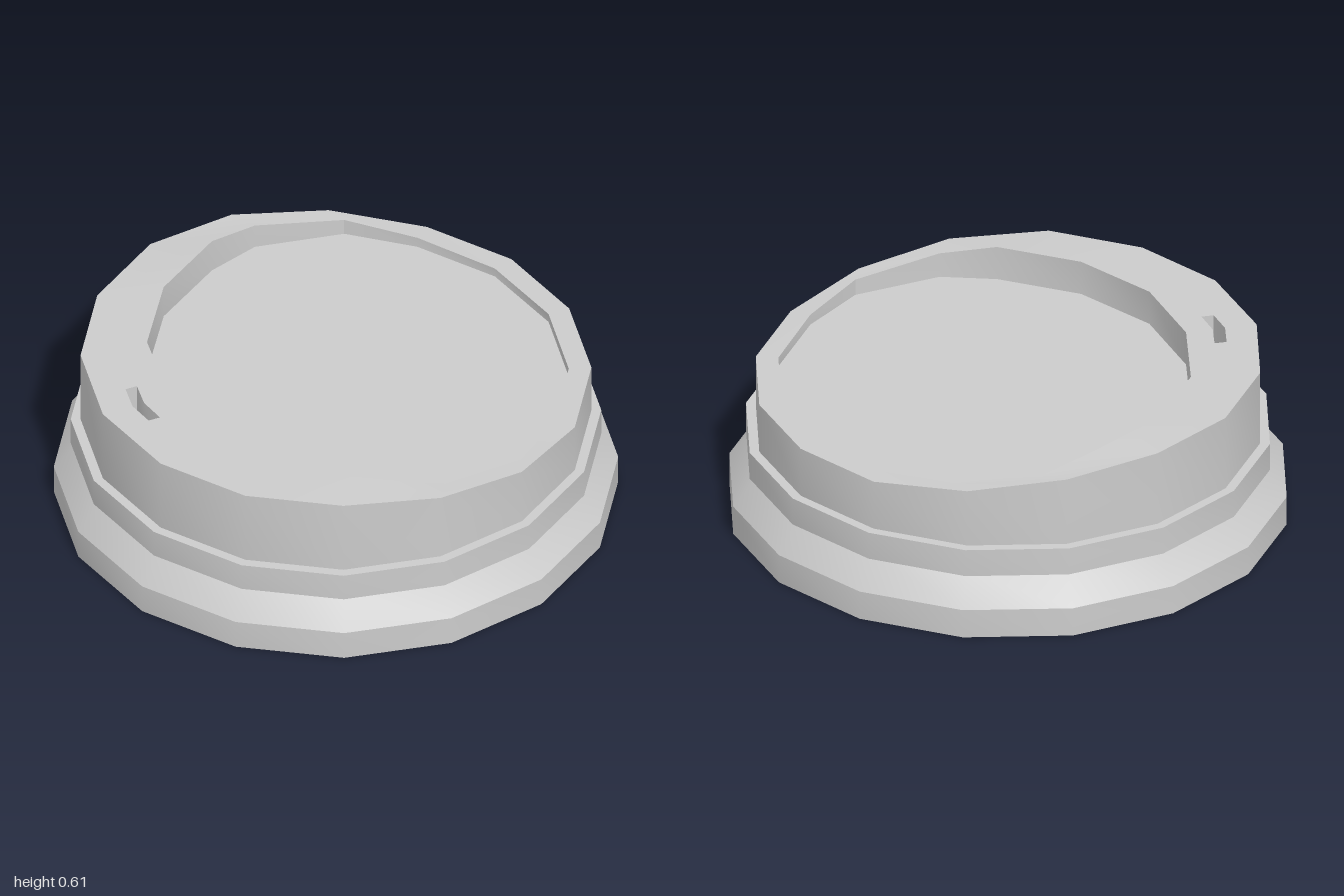
import * as THREE from 'three';
import { toCreasedNormals } from 'three/addons/utils/BufferGeometryUtils.js';

const SIDES = 16, TOP = 0.605, LOW = 0.51, FLOOR = 0.475;

// height of the drinking rim: flat at the back (-x), sloping down to +x
const rimHeight = (x) => {
  if (x <= -0.14) return TOP;
  if (x <= 0.055) return THREE.MathUtils.mapLinear(x, -0.14, 0.055, TOP, 0.57);
  return Math.max(LOW, THREE.MathUtils.mapLinear(x, 0.055, 0.63, 0.57, LOW));
};

const material = new THREE.MeshStandardMaterial({ color: 0xcccccc, side: THREE.DoubleSide });

function add(group, name, geometry) {
  const mesh = new THREE.Mesh(toCreasedNormals(geometry, 0.5), material);
  mesh.name = name;
  group.add(mesh);
}

// quads between two closed loops of [x, y, z]; skip leaves out chosen quads
function strip(a, b, skip = []) {
  const n = a.length, pos = [];
  for (let i = 0; i < n; i++) {
    if (skip.includes(i)) continue;
    const j = (i + 1) % n;
    pos.push(...a[i], ...a[j], ...b[i], ...a[j], ...b[j], ...b[i]);
  }
  const g = new THREE.BufferGeometry();
  g.setAttribute('position', new THREE.Float32BufferAttribute(pos, 3));
  g.computeVertexNormals();
  return g;
}

// flat upward face from [x, z] outlines
function flat(outline, y, hole) {
  const toPoints = (l) => l.map(([x, z]) => new THREE.Vector2(x, -z));
  const shape = new THREE.Shape(toPoints(outline));
  if (hole) shape.holes.push(new THREE.Path(toPoints(hole)));
  return new THREE.ShapeGeometry(shape).rotateX(-Math.PI / 2).translate(0, y, 0);
}

const atHeight = (loop, y) => loop.map(([x, z]) => [x, y, z]);
const onRim = (loop) => loop.map(([x, z]) => [x, rimHeight(x), z]);

export function createModel() {
  const group = new THREE.Group();
  group.name = 'cupLid';

  // hollow shell: ceiling, inner wall, skirt, shoulder, band and neck
  const profile = [
    [0, 0.455], [0.87, 0.455], [0.89, 0.2], [0.965, 0], [1, 0], [1, 0.11],
    [0.915, 0.215], [0.94, 0.215], [0.94, 0.32], [0.905, 0.32], [0.905, TOP],
  ].map(([r, y]) => new THREE.Vector2(r, y));
  const shell = new THREE.LatheGeometry(profile, SIDES);
  const p = shell.attributes.position;
  for (let i = 0; i < p.count; i++) {
    if (p.getY(i) > 0.6) p.setY(i, rimHeight(p.getX(i)));
  }
  add(group, 'shell', shell);

  // outlines of the neck and of the off-centre well
  const outer = [];
  for (let i = 0; i < SIDES; i++) {
    const a = (i / SIDES) * Math.PI * 2;
    outer.push([0.905 * Math.cos(a), 0.905 * Math.sin(a)]);
  }
  const half = [
    [0.825, 0], [0.76, 0.32], [0.58, 0.59], [0.375, 0.765], [0.055, 0.825],
    [-0.14, 0.762], [-0.405, 0.588], [-0.59, 0.32], [-0.648, 0],
  ];
  const well = [...half, ...half.slice(1, -1).reverse().map(([x, z]) => [x, -z])];

  // bent sip slot
  const slot = [
    [-0.728, -0.1], [-0.745, 0], [-0.728, 0.1],
    [-0.772, 0.1], [-0.79, 0], [-0.772, -0.1],
  ];

  // top rim, with the flat sector around the slot made separately
  add(group, 'topRim', strip(onRim(well), onRim(outer), [7, 8]));
  const sector = [...outer.slice(7, 10), ...well.slice(7, 10).reverse()];
  add(group, 'slotRim', flat(sector, TOP, slot));
  add(group, 'slotWall', strip(atHeight(slot, FLOOR), atHeight(slot, TOP)));
  add(group, 'slotFloor', flat(slot, FLOOR));

  // sunken well
  add(group, 'wellWall', strip(atHeight(well, FLOOR), onRim(well)));
  add(group, 'wellFloor', flat(well, FLOOR));

  return group;
}
